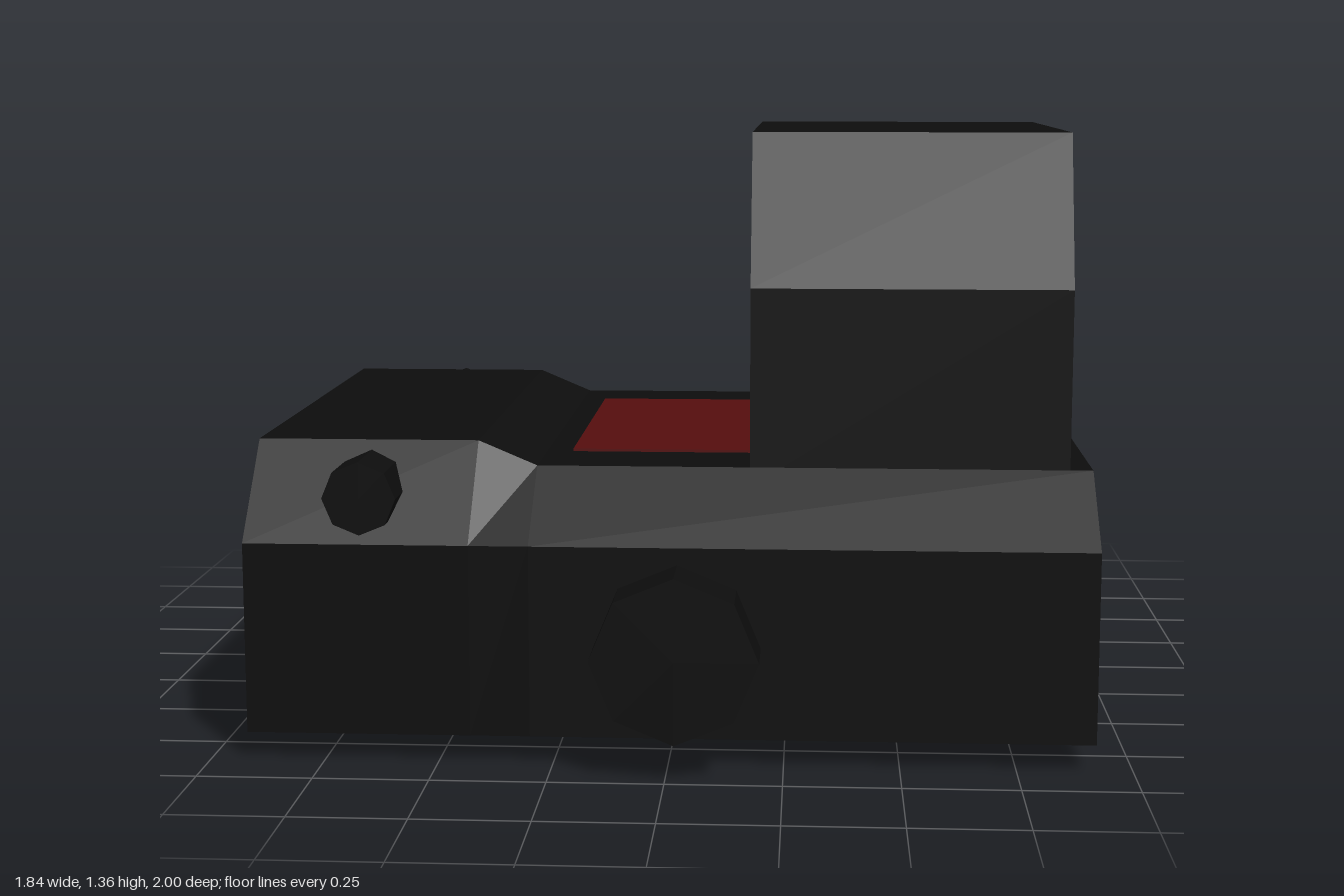
import * as THREE from 'three';

export function createModel() {
  const model = new THREE.Group();
  model.name = 'reflexSight';
  const black = new THREE.MeshStandardMaterial({ color: 0x0d0d0d, flatShading: true });
  black.name = 'matte black';
  const red = new THREE.MeshStandardMaterial({ color: 0x560e0e, side: THREE.DoubleSide });
  red.name = 'dark red';

  const add = (name, geometry, material = black) => {
    const mesh = new THREE.Mesh(geometry, material);
    mesh.name = name;
    model.add(mesh);
    return mesh;
  };

  // Chamfered base, lofted along x with a raised left end: [x, top height]
  const sections = [[-0.92, 0.68], [-0.43, 0.68], [-0.3, 0.625], [0.92, 0.625]];
  const rings = sections.map(([x, h]) => [
    [-0.67, 0.06], [0.87, 0.06], [0.87, 0.48], [0.69, h], [-0.48, h], [-0.67, 0.48],
  ].map(([z, y]) => [x, y, z]));
  const positions = [];
  const tri = (a, b, c) => positions.push(...a, ...b, ...c);
  for (let s = 0; s < rings.length - 1; s++) {
    const p = rings[s], q = rings[s + 1];
    for (let i = 0; i < 6; i++) {
      const j = (i + 1) % 6;
      tri(p[i], q[i], q[j]);
      tri(p[i], q[j], p[j]);
    }
  }
  const first = rings[0], last = rings[rings.length - 1];
  for (let i = 1; i < 5; i++) {
    tri(first[0], first[i], first[i + 1]);
    tri(last[0], last[i + 1], last[i]);
  }
  const baseGeometry = new THREE.BufferGeometry();
  baseGeometry.setAttribute('position', new THREE.Float32BufferAttribute(positions, 3));
  baseGeometry.computeVertexNormals();
  add('base', baseGeometry);

  // Arched hood, open along x; outline given as [z, y]
  const outline = [
    [0.69, 0.58], [0.69, 1.02], [0.575, 1.355], [-0.365, 1.355], [-0.48, 1.02], [-0.48, 0.58],
    [-0.355, 0.58], [-0.355, 1.0], [-0.295, 1.225], [0.505, 1.225], [0.565, 1.0], [0.565, 0.58],
  ];
  const hoodShape = new THREE.Shape(outline.map(([z, y]) => new THREE.Vector2(-z, y)));
  const hood = new THREE.ExtrudeGeometry(hoodShape, { depth: 0.7, bevelEnabled: false });
  hood.rotateY(Math.PI / 2).translate(0.17, 0, 0);
  add('hood', hood);

  // Cylinders lying along z, with a corner pointing down
  const rod = (name, radius, z0, z1, x, y) => {
    const g = new THREE.CylinderGeometry(radius, radius, z1 - z0, 8);
    g.rotateX(Math.PI / 2).translate(x, y, (z0 + z1) / 2);
    add(name, g);
  };
  rod('clampShaft', 0.18, -0.98, 1, 0.02, 0.263);
  rod('adjustmentScrews', 0.08, -0.66, 0.87, -0.665, 0.58);

  // Clamp knob ring around the shaft end
  const ring = [[0.17, 0], [0.263, 0], [0.263, 0.25], [0.18, 0.25], [0.18, 0.2]]
    .map(([r, h]) => new THREE.Vector2(r, h));
  const knob = new THREE.LatheGeometry(ring, 8);
  knob.rotateX(-Math.PI / 2).translate(0.02, 0.263, -0.75);
  add('clampKnob', knob);

  // Red panel set in the deck and the aiming dot inside the hood
  const panel = new THREE.BoxGeometry(0.79, 0.008, 0.79);
  panel.translate(0.155, 0.627, 0.105);
  add('redPanel', panel, red);
  const dot = new THREE.CircleGeometry(0.043, 6);
  dot.rotateY(Math.PI / 2).translate(0.53, 0.935, 0.105);
  add('aimingDot', dot, red);

  return model;
}
